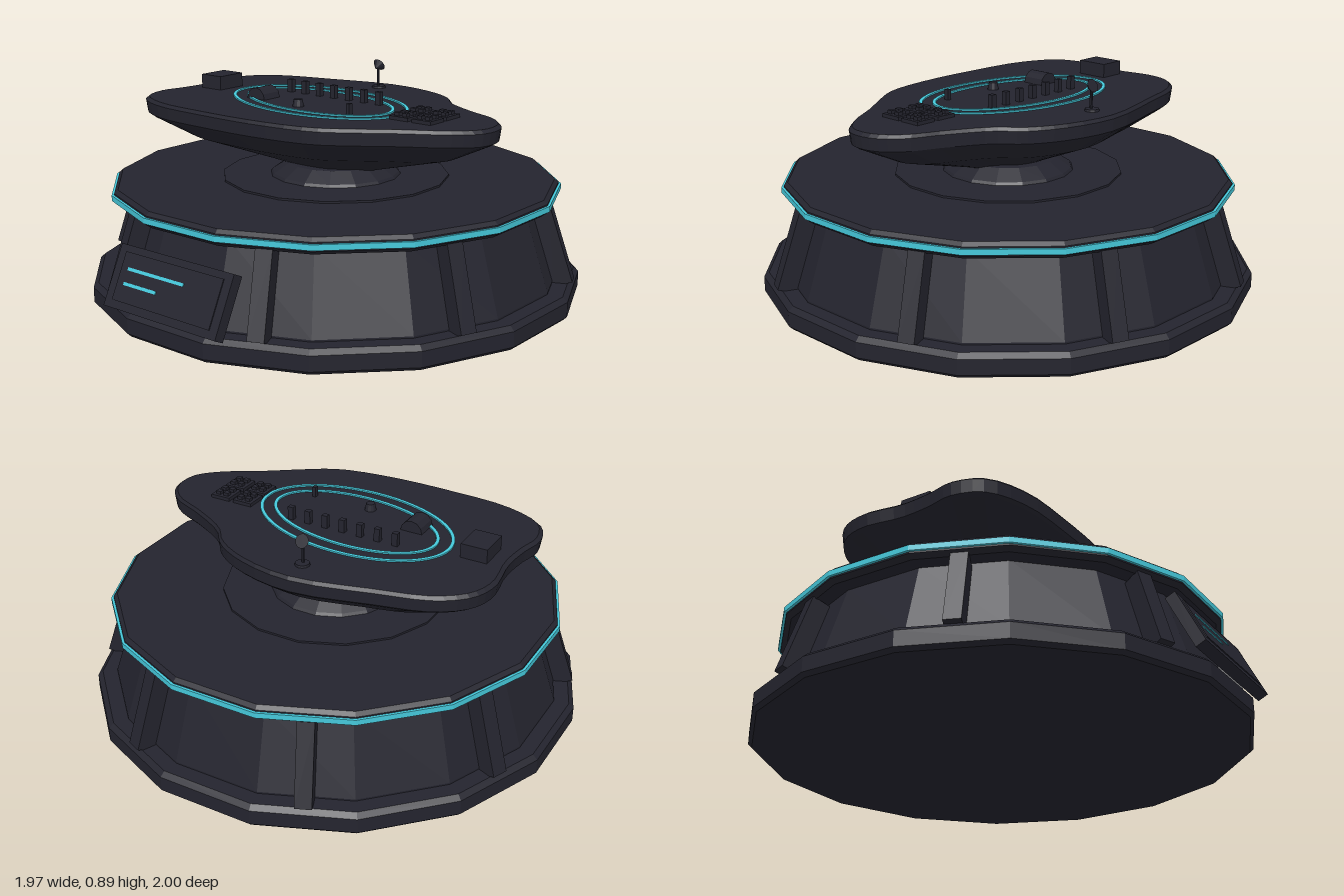
import * as THREE from 'three';

const dark = new THREE.MeshStandardMaterial({ color: 0x24242e, flatShading: true });
dark.name = 'darkMetal';
const cyan = new THREE.MeshStandardMaterial({ color: 0x45c8da, flatShading: true });
cyan.name = 'cyanLight';
const CZ = -0.012; // depth of the console axis
const TOP = 0.763; // height of the table top

function add(parent, name, geo, mat, x = 0, y = 0, z = 0) {
  const m = new THREE.Mesh(geo, mat);
  m.name = name;
  m.position.set(x, y, z);
  parent.add(m);
  return m;
}
const box = (w, h, d) => new THREE.BoxGeometry(w, h, d);

// Sixteen-sided solid from [apothem, height] pairs, flat side to the front
function prism(profile) {
  const k = 1 / Math.cos(Math.PI / 16);
  const pts = profile.map(([r, y]) => new THREE.Vector2(r * k, y));
  return new THREE.LatheGeometry(pts, 16).rotateY(Math.PI / 16);
}

// Kidney-shaped table: one outline scaled through several heights
function tableGeometry() {
  const outline = [
    [-0.07, -0.5], [-0.39, -0.43], [-0.6, -0.37], [-0.71, -0.28], [-0.745, -0.17], [-0.725, 0],
    [-0.735, 0.13], [-0.755, 0.24], [-0.71, 0.36], [-0.55, 0.44], [-0.29, 0.465], [0, 0.465],
    [0.24, 0.425], [0.375, 0.345], [0.51, 0.25], [0.67, 0.15], [0.75, 0.06], [0.75, -0.05],
    [0.68, -0.14], [0.53, -0.21], [0.375, -0.3], [0.3, -0.385], [0.16, -0.46],
  ];
  const curve = new THREE.CatmullRomCurve3(outline.map(([x, z]) => new THREE.Vector3(x, 0, z)), true);
  const n = 72;
  const ring = curve.getPoints(n).slice(0, n);
  const levels = [[0.3, 0.52], [0.37, 0.535], [0.77, 0.615], [0.98, 0.69], [1, 0.7], [1.01, 0.75], [0.99, TOP]];
  const pos = [], idx = [];
  for (const [s, y] of levels) for (const p of ring) pos.push(p.x * s, y, CZ + (p.z - CZ) * s);
  const bottom = pos.length / 3;
  pos.push(0, levels[0][1], CZ, 0, TOP, CZ);
  const last = (levels.length - 1) * n;
  for (let i = 0; i < n; i++) {
    const j = (i + 1) % n;
    for (let l = 0; l < levels.length - 1; l++) {
      const a = l * n + i, b = l * n + j;
      idx.push(a, b, b + n, a, b + n, a + n);
    }
    idx.push(bottom, j, i, bottom + 1, last + i, last + j);
  }
  const g = new THREE.BufferGeometry();
  g.setAttribute('position', new THREE.Float32BufferAttribute(pos, 3));
  g.setIndex(idx);
  g.computeVertexNormals();
  return g;
}

// Thin tilted oval band lying flat
function ovalBand(a, b, w) {
  const s = new THREE.Shape();
  s.absellipse(0, 0, a, b, 0, Math.PI * 2, false, -0.133);
  const hole = new THREE.Path();
  hole.absellipse(0, 0, a - w, b - w, 0, Math.PI * 2, true, -0.133);
  s.holes.push(hole);
  return new THREE.ExtrudeGeometry(s, { depth: 0.006, bevelEnabled: false, curveSegments: 64 }).rotateX(-Math.PI / 2);
}

export function createModel() {
  const root = new THREE.Group();
  root.name = 'controlConsole';

  // Stepped pedestal
  add(root, 'plinth', prism([[0, 0], [0.97, 0], [0.985, 0.015], [0.985, 0.075], [0.965, 0.093], [0, 0.093]]), dark, 0, 0, CZ);
  add(root, 'body', prism([[0.905, 0.09], [0.905, 0.1], [0.805, 0.41]]), dark, 0, 0, CZ);
  add(root, 'deck', prism([[0, 0.402], [0.87, 0.402], [0.89, 0.418], [0.89, 0.452], [0.875, 0.466], [0, 0.466]]), dark, 0, 0, CZ);
  add(root, 'deckLight', prism([[0.885, 0.424], [0.9, 0.424], [0.9, 0.446], [0.885, 0.446]]), cyan, 0, 0, CZ);
  add(root, 'deckStep', prism([[0.455, 0.46], [0.455, 0.474], [0, 0.474]]), dark, 0, 0, CZ);
  add(root, 'neck', prism([[0.265, 0.47], [0.255, 0.485], [0.195, 0.525], [0, 0.525]]), dark, 0, 0, CZ);

  // Eight sloping ribs
  for (let i = 0; i < 8; i++) {
    const arm = new THREE.Group();
    arm.name = 'rib' + (i + 1);
    arm.position.z = CZ;
    arm.rotation.y = Math.PI / 8 + i * Math.PI / 4;
    add(arm, 'ribBar', box(0.065, 0.325, 0.08), dark, 0, 0.243, 0.895).rotation.x = -0.32;
    root.add(arm);
  }

  // Tilted front display
  const panel = new THREE.Group();
  panel.name = 'frontPanel';
  panel.position.set(-0.004, 0.213, 0.929);
  panel.rotation.x = -0.45;
  add(panel, 'panelCase', box(0.575, 0.24, 0.044), dark);
  add(panel, 'panelScreen', box(0.5, 0.185, 0.006), dark, 0, 0.002, 0.023);
  add(panel, 'longLine', box(0.29, 0.012, 0.006), cyan, -0.068, 0.034, 0.026);
  add(panel, 'shortLine', box(0.17, 0.012, 0.006), cyan, -0.128, -0.022, 0.026);
  root.add(panel);

  // Table top with two light ovals
  add(root, 'table', tableGeometry(), dark);
  add(root, 'outerOval', ovalBand(0.437, 0.268, 0.014), cyan, -0.068, TOP, 0.015);
  add(root, 'innerOval', ovalBand(0.379, 0.208, 0.014), cyan, -0.065, TOP, 0.017);

  // Controls
  add(root, 'sideBox', box(0.11, 0.06, 0.135), dark, -0.61, TOP + 0.028, 0.015);
  const drum = new THREE.CylinderGeometry(0.047, 0.047, 0.095, 12, 1, false, 0, Math.PI * 2).rotateX(Math.PI / 2);
  add(root, 'drum', drum, dark, -0.303, TOP, 0.088);
  for (let i = 0; i < 7; i++) add(root, 'lever' + (i + 1), box(0.024, 0.055, 0.022), dark, -0.3 + i * 0.0775, TOP + 0.026, -0.085);
  add(root, 'shortLever', box(0.016, 0.045, 0.02), dark, 0.19, TOP + 0.02, 0.14);
  add(root, 'knob', new THREE.CylinderGeometry(0.018, 0.024, 0.03, 12), dark, -0.07, TOP + 0.014, 0.14);

  // Four keypads with four buttons each
  for (const x of [0.407, 0.512]) for (const z of [-0.036, 0.07]) {
    add(root, 'keypad', box(0.086, 0.016, 0.09), dark, x, TOP + 0.006, z);
    for (const dx of [-0.018, 0.018]) for (const dz of [-0.02, 0.02])
      add(root, 'button', box(0.022, 0.014, 0.022), dark, x + dx, TOP + 0.02, z + dz);
  }

  // Small dish aerial at the back
  add(root, 'aerialBase', new THREE.CylinderGeometry(0.028, 0.03, 0.01, 12), dark, -0.07, TOP + 0.004, -0.395);
  add(root, 'aerialStem', new THREE.CylinderGeometry(0.006, 0.006, 0.09, 8), dark, -0.07, TOP + 0.045, -0.39);
  add(root, 'aerialDish', new THREE.ConeGeometry(0.028, 0.03, 12), dark, -0.07, 0.855, -0.383).rotation.x = Math.PI / 2 + 0.5;
  return root;
}
